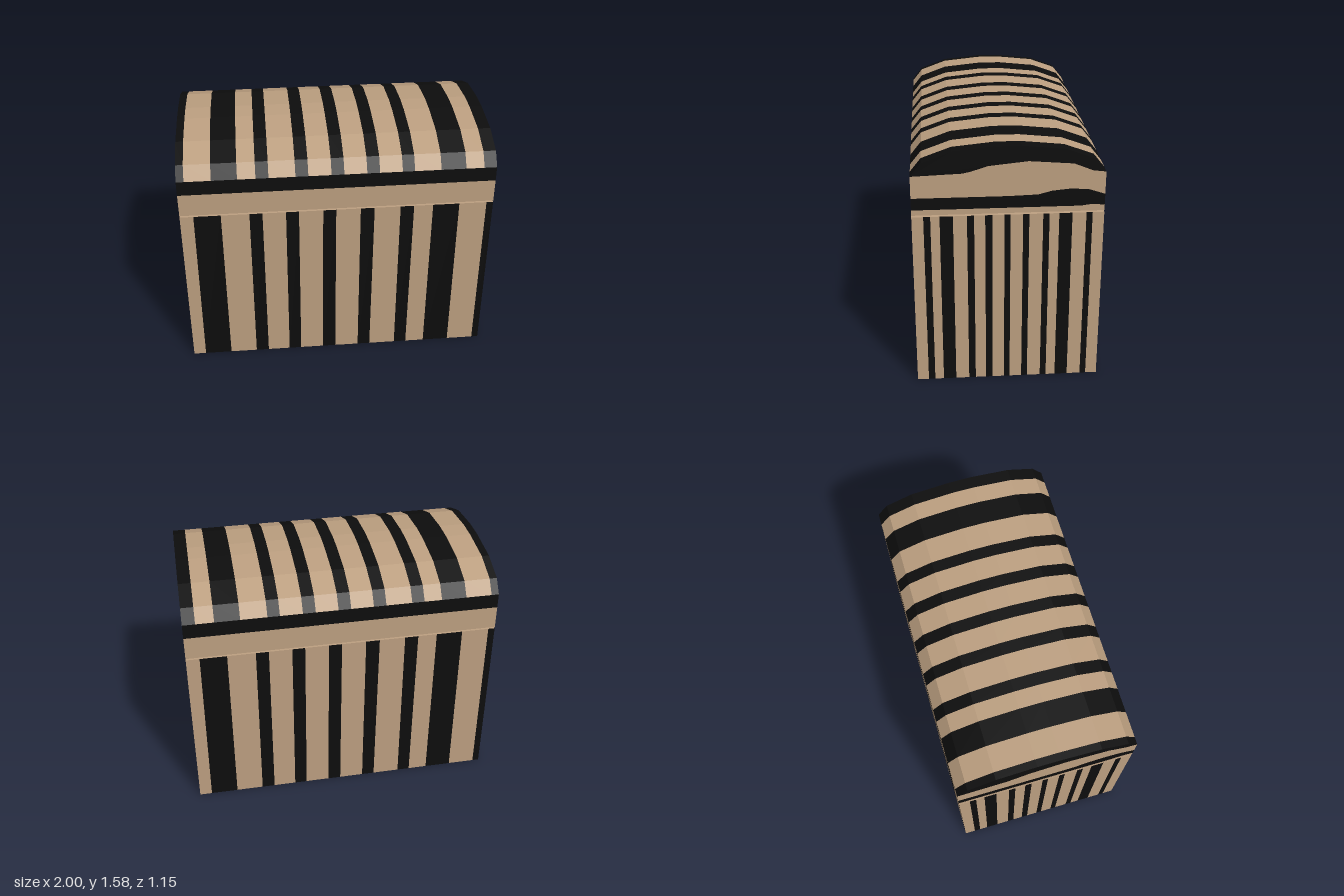
import * as THREE from 'three';

const W = 1, D = 0.574, BODY_TOP = 1.143, LID_BOTTOM = 1.154, BAND = 1.305, EAVE = 1.402;

// Stripe edges: colours alternate, starting with tan
const FRONT_TOP = [-W, -0.914, -0.743, -0.563, -0.481, -0.332, -0.25, -0.096, -0.013, 0.144, 0.233, 0.4, 0.487, 0.61, 0.78, 0.957, W];
const FRONT_BASE = [-W, -0.92, -0.743, -0.567, -0.483, -0.337, -0.256, -0.102, -0.016, 0.142, 0.225, 0.4, 0.482, 0.607, 0.78, 0.957, W];
const SIDE = [-D, -0.504, -0.463, -0.408, -0.329, -0.246, -0.204, -0.138, -0.096, -0.023, 0.013, 0.088, 0.125, 0.208, 0.246, 0.304, 0.383, 0.467, 0.504, D];
const LID = [-W, -0.952, -0.786, -0.626, -0.513, -0.433, -0.267, -0.187, -0.043, 0.037, 0.18, 0.26, 0.403, 0.48, 0.647, 0.805, 0.92, W];

// Half of the lid arch, as [distance from the middle, height]
const ARCH = [[0.574, EAVE], [0.508, 1.485], [0.331, 1.55], [0.075, 1.576]];
const PROFILE = [...ARCH.map(([d, y]) => [-d, y]), ...ARCH.slice().reverse()];

// Painted curves on the lid ends, as [distance across, height]
const WAVE_HIGH = [[-D, EAVE], [-0.27, 1.413], [-0.22, 1.424], [-0.12, 1.456], [0.117, 1.48], [0.383, 1.458], [0.496, 1.412], [D, EAVE]];
const WAVE_MID = [[-D, 1.263], [0.0, 1.263], [0.175, 1.268], [0.26, 1.29], [0.37, 1.3], [0.475, 1.293], [D, 1.26]];
const WAVE_LOW = [[-D, 1.188], [0.43, 1.188], [0.5, 1.197], [D, 1.19]];

export function createModel() {
  const tan = new THREE.MeshStandardMaterial({ color: 0xbc9f80 });
  tan.name = 'tan wood';
  const black = new THREE.MeshStandardMaterial({ color: 0x0d0d0d });
  black.name = 'black';
  const chest = new THREE.Group();
  chest.name = 'chest';

  const group = (name, parent) => {
    const g = new THREE.Group();
    g.name = name;
    parent.add(g);
    return g;
  };

  // Flat panel between a lower and an upper edge line, facing +z
  const panel = (parent, name, lower, upper, material) => {
    const points = [...lower, ...upper.slice().reverse()].map(([x, y]) => new THREE.Vector2(x, y));
    const mesh = new THREE.Mesh(new THREE.ShapeGeometry(new THREE.Shape(points)), material);
    mesh.name = name;
    parent.add(mesh);
    return mesh;
  };
  const rect = (parent, name, w, y0, y1, material) =>
    panel(parent, name, [[-w, y0], [w, y0]], [[-w, y1], [w, y1]], material);

  const stripes = (parent, base, top, y0, y1) => {
    for (let i = 0; i < base.length - 1; i++) {
      panel(parent, i % 2 ? 'blackStripe' : 'tanStripe',
        [[base[i], y0], [base[i + 1], y0]], [[top[i], y1], [top[i + 1], y1]], i % 2 ? black : tan);
    }
  };

  // Long wall and end wall, repeated half a turn round
  for (const [turn, longName, endName] of [[0, 'front', 'leftEnd'], [Math.PI, 'back', 'rightEnd']]) {
    const half = group(longName + 'Half', chest);
    half.rotation.y = turn;

    const long = group(longName + 'Wall', half);
    long.position.z = D;
    stripes(long, FRONT_BASE, FRONT_TOP, 0, BODY_TOP);
    rect(long, 'lidRim', W, LID_BOTTOM, BAND, tan);
    rect(long, 'lidBand', W, BAND, EAVE, black);

    const end = group(endName, half);
    end.position.x = W;
    end.rotation.y = Math.PI / 2;
    stripes(end, SIDE, SIDE, 0, BODY_TOP);
    panel(end, 'lidEndRim', [[-D, LID_BOTTOM], [D, LID_BOTTOM]], WAVE_LOW, tan);
    panel(end, 'lidEndBand', WAVE_LOW, WAVE_MID, black);
    panel(end, 'lidEndPanel', WAVE_MID, WAVE_HIGH, tan);
    panel(end, 'lidEndArch', WAVE_HIGH, PROFILE.slice(1, -1), black);
  }

  // Striped floor, with stripes running lengthwise
  const floor = group('floor', chest);
  floor.rotation.set(Math.PI / 2, 0, Math.PI / 2);
  stripes(floor, SIDE, SIDE, -W, W);

  // Faces that close the body and the lid at the seam
  const bodyTop = rect(chest, 'bodyTop', W, -D, D, tan);
  bodyTop.rotation.x = -Math.PI / 2;
  bodyTop.position.y = BODY_TOP;
  const lidBase = rect(chest, 'lidBase', W, -D, D, tan);
  lidBase.rotation.x = Math.PI / 2;
  lidBase.position.y = LID_BOTTOM;

  // Faceted arched lid, striped from front to back
  const lid = group('lidTop', chest);
  for (let i = 0; i < LID.length - 1; i++) {
    const x0 = LID[i], x1 = LID[i + 1], positions = [];
    for (let j = 0; j < PROFILE.length - 1; j++) {
      const [z0, y0] = PROFILE[j], [z1, y1] = PROFILE[j + 1];
      positions.push(x0, y0, z0, x0, y1, z1, x1, y1, z1, x0, y0, z0, x1, y1, z1, x1, y0, z0);
    }
    const geometry = new THREE.BufferGeometry();
    geometry.setAttribute('position', new THREE.Float32BufferAttribute(positions, 3));
    geometry.computeVertexNormals();
    const mesh = new THREE.Mesh(geometry, i % 2 ? tan : black);
    mesh.name = i % 2 ? 'tanLidStripe' : 'blackLidStripe';
    lid.add(mesh);
  }
  return chest;
}
